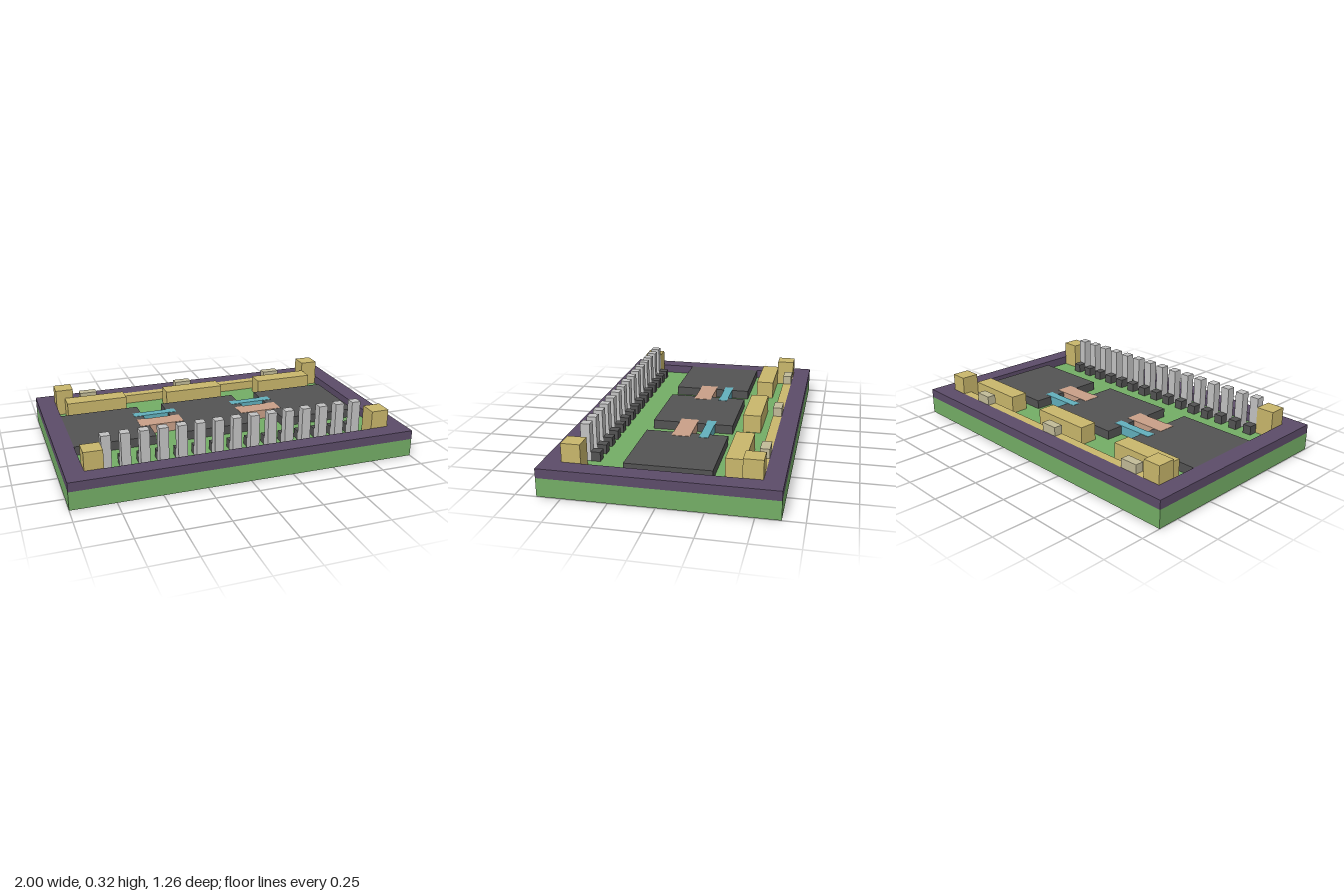
import * as THREE from 'three';

// Everything sits on a grid: 38 cells across the long side.
const U = 2 / 38;

const material = (name, color) => {
  const m = new THREE.MeshStandardMaterial({ color });
  m.name = name;
  return m;
};

export function createModel() {
  const model = new THREE.Group();
  model.name = 'circuitBoard';

  const green = material('board green', 0x74ae66);
  const purple = material('frame purple', 0x5c4c69);
  const charcoal = material('chip charcoal', 0x535353);
  const gold = material('contact gold', 0xc9b76c);
  const silver = material('pin silver', 0xc3c3c3);
  const khaki = material('tab khaki', 0xc2bb98);
  const blue = material('bridge blue', 0x62b0bd);
  const pink = material('bridge pink', 0xc9a088);

  // Box between two grid corners
  const box = (name, mat, [x0, y0, z0], [x1, y1, z1], parent = model) => {
    const mesh = new THREE.Mesh(
      new THREE.BoxGeometry((x1 - x0) * U, (y1 - y0) * U, (z1 - z0) * U), mat);
    mesh.position.set((x0 + x1) / 2 * U, (y0 + y1) / 2 * U, (z0 + z1) / 2 * U);
    mesh.name = name;
    parent.add(mesh);
    return mesh;
  };
  const group = (name) => {
    const g = new THREE.Group();
    g.name = name;
    model.add(g);
    return g;
  };

  // Base board, a hair above the peg feet
  box('baseBoard', green, [-19, 0.02, -12], [19, 2, 12]);

  // Raised rim with a rectangular opening
  const outline = (w, d, Type) => new Type([
    new THREE.Vector2(-w * U, -d * U), new THREE.Vector2(w * U, -d * U),
    new THREE.Vector2(w * U, d * U), new THREE.Vector2(-w * U, d * U),
  ]);
  const rim = outline(19, 12, THREE.Shape);
  rim.holes.push(outline(17, 10, THREE.Path));
  const rimGeometry = new THREE.ExtrudeGeometry(rim, { depth: U, bevelEnabled: false });
  rimGeometry.rotateX(-Math.PI / 2).translate(0, 2 * U, 0);
  const frame = new THREE.Mesh(rimGeometry, purple);
  frame.name = 'frame';
  model.add(frame);

  // Corner pegs run right through the board
  const pegs = group('cornerPegs');
  for (const x of [-17, 15])
    for (const z of [-10, 8])
      box('cornerPeg', gold, [x, 0, z], [x + 2, 5, z + 2], pegs);

  // Three square chips
  const chips = group('chips');
  for (const x of [-17, -5, 7])
    box('chip', charcoal, [x, 2, -5], [x + 9, 3, 4], chips);

  // Bridges joining neighbouring chips
  const bridges = group('bridges');
  for (const x of [-9, 3]) {
    box('blueBridge', blue, [x, 2, -3], [x + 5, 3.03, -2], bridges);
    box('pinkBridge', pink, [x, 2, -1], [x + 5, 3.03, 1], bridges);
  }

  // Rear rail with small tabs, and the long contact blocks before it
  box('rearRail', gold, [-15, 2, -10], [15, 3, -9]);
  const tabs = group('railTabs');
  for (const x of [-14, -2, 10])
    box('railTab', khaki, [x, 3, -10], [x + 2, 4, -9], tabs);
  const blocks = group('contactBlocks');
  for (const x of [-16, -4, 8])
    box('contactBlock', gold, [x, 2, -8], [x + 7, 4, -6], blocks);

  // Front row of tall pins, each with a dark socket behind
  const pins = group('pinRow');
  for (let i = 0; i < 15; i++) {
    const x = -15 + 2 * i;
    box('pin', silver, [x, 2, 8], [x + 1, 6, 9], pins);
    box('pinSocket', charcoal, [x, 2, 7], [x + 1, 3, 8], pins);
  }

  return model;
}
